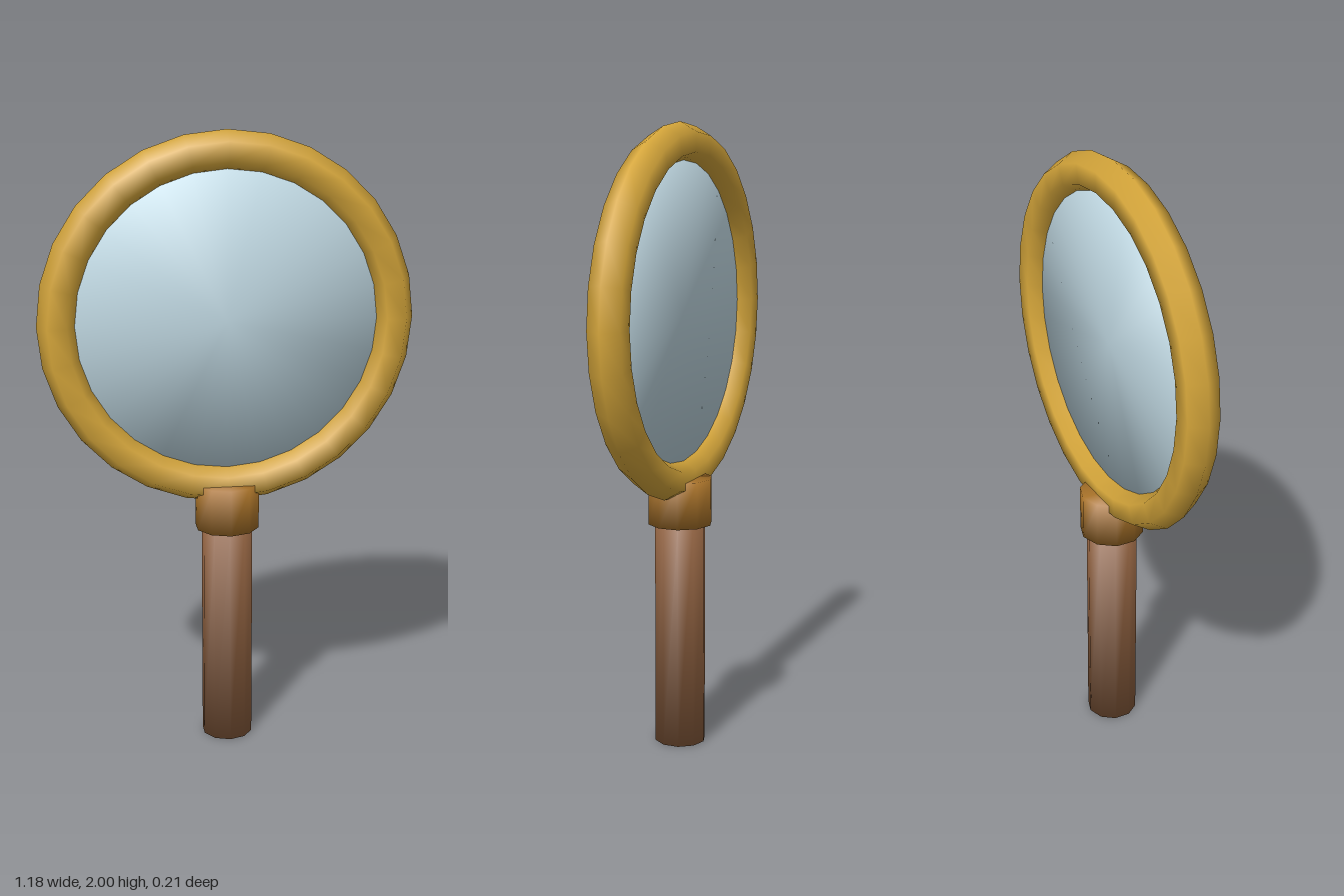
import * as THREE from 'three';

const gold = new THREE.MeshStandardMaterial({ name: 'gold frame', color: 0xd4a53a });
const brass = new THREE.MeshStandardMaterial({ name: 'dark brass', color: 0xa87229 });
const wood = new THREE.MeshStandardMaterial({ name: 'brown wood', color: 0x8e603f });
const glass = new THREE.MeshStandardMaterial({ name: 'pale blue glass', color: 0xc0d8e2 });

// Cylinder whose normals blend softly from the side into the caps
function softCylinder(radius, height, sides) {
  const geo = new THREE.CylinderGeometry(radius, radius, height, sides);
  const pos = geo.attributes.position;
  const n = new THREE.Vector3();
  for (let i = 0; i < pos.count; i++) {
    n.set(pos.getX(i) / radius, Math.sign(pos.getY(i)), pos.getZ(i) / radius).normalize();
    geo.attributes.normal.setXYZ(i, n.x, n.y, n.z);
  }
  return geo;
}

export function createModel() {
  const model = new THREE.Group();
  model.name = 'magnifyingGlass';

  function add(name, geometry, material, y) {
    const mesh = new THREE.Mesh(geometry, material);
    mesh.name = name;
    mesh.position.y = y;
    model.add(mesh);
    return mesh;
  }

  // Round frame with a six-sided section, holding a thin lens
  const lensY = 1.408;
  add('frame', new THREE.TorusGeometry(0.53, 0.062, 6, 28), gold, lensY);
  add('lens', softCylinder(0.485, 0.022, 28), glass, lensY).rotation.x = Math.PI / 2;

  // Collar and handle
  add('collar', softCylinder(0.104, 0.15, 10), brass, 0.805);
  add('handle', softCylinder(0.083, 0.76, 10), wood, 0.38);

  return model;
}
